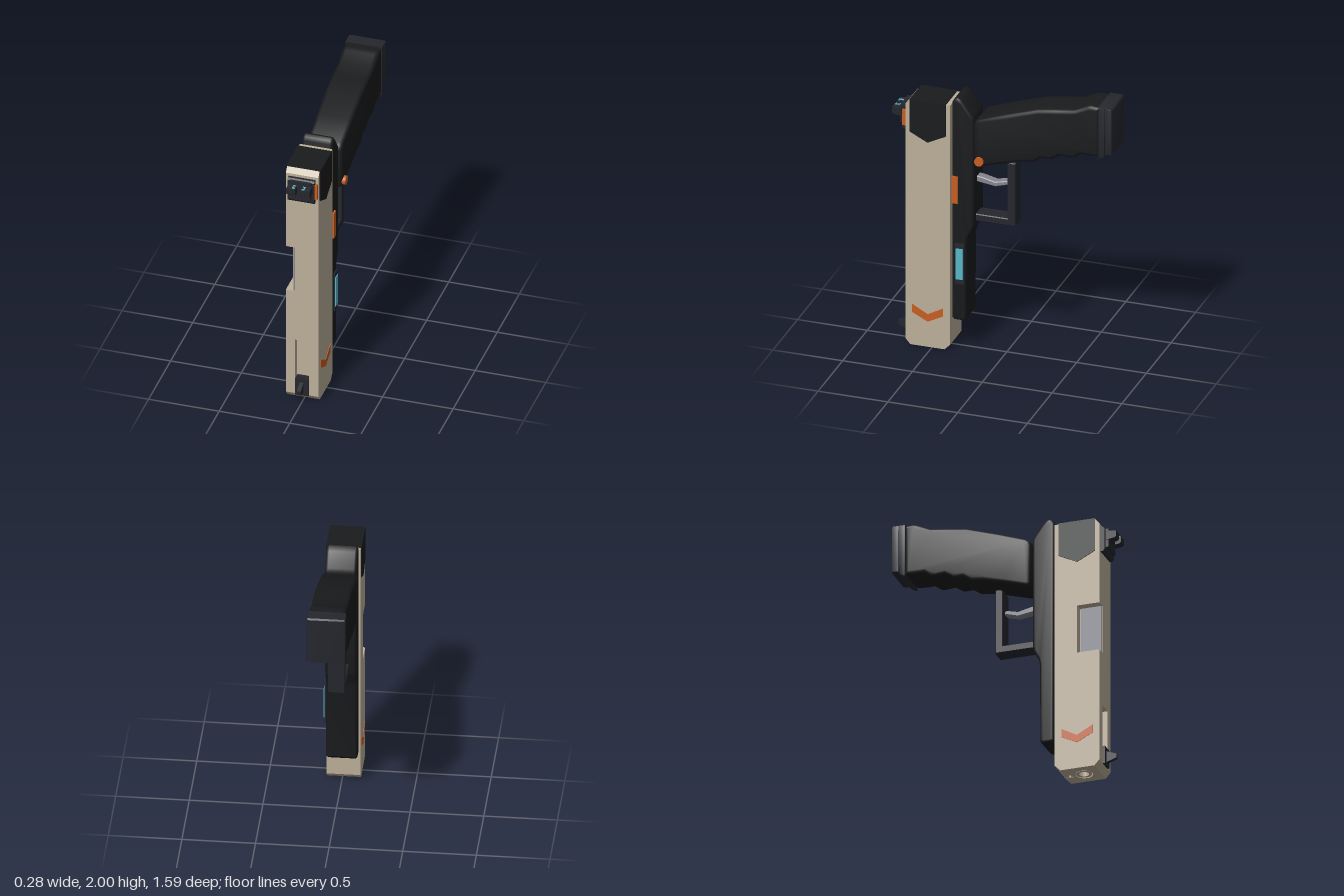
import * as THREE from 'three';
import { toCreasedNormals } from 'three/addons/utils/BufferGeometryUtils.js';

const mat = (color) => new THREE.MeshStandardMaterial({ color });
const tan = mat(0xbdb09a), black = mat(0x1a1b1d), dark = mat(0x25272d);
const orange = mat(0xc85e22), teal = mat(0x58b8c8), steel = mat(0x85868e);

const toShape = (pts) => new THREE.Shape(pts.map(([a, b]) => new THREE.Vector2(a, b)));

// Side profile of [z, y] points, extruded from x0 to x1 with rounded edges
function sideExtrude(pts, x0, x1, bevel = 0, segments = 3) {
  const g = new THREE.ExtrudeGeometry(toShape(pts), {
    depth: x1 - x0 - 2 * bevel, bevelEnabled: bevel > 0, bevelSize: bevel,
    bevelThickness: bevel, bevelOffset: -bevel, bevelSegments: segments,
  });
  g.rotateY(-Math.PI / 2).translate(x1 - bevel, 0, 0);
  return bevel > 0 ? toCreasedNormals(g, 0.6) : g;
}

// Footprint of [x, z] points, extruded from y0 up to y1, with optional round holes [x, z, r]
function upExtrude(pts, y0, y1, holes = []) {
  const shape = toShape(pts);
  for (const [x, z, r] of holes) shape.holes.push(new THREE.Path().absarc(x, z, r, 0, Math.PI * 2, true));
  const g = new THREE.ExtrudeGeometry(shape, { depth: y1 - y0, bevelEnabled: false, curveSegments: 16 });
  return g.rotateX(Math.PI / 2).translate(0, y1, 0);
}

// Pull the front and back edges inward at one height to chamfer a slide section
function chamfer(g, y, front, back) {
  const p = g.attributes.position;
  for (let i = 0; i < p.count; i++) {
    if (Math.abs(p.getY(i) - y) > 1e-4) continue;
    if (p.getZ(i) > 0.689) p.setZ(i, 0.69 - front);
    if (p.getZ(i) < 0.371) p.setZ(i, 0.37 + back);
  }
  g.computeVertexNormals();
  return g;
}

// Box given by its min and max on each axis
function span(x0, x1, y0, y1, z0, z1) {
  return new THREE.BoxGeometry(x1 - x0, y1 - y0, z1 - z0)
    .translate((x0 + x1) / 2, (y0 + y1) / 2, (z0 + z1) / 2);
}

export function createModel() {
  const model = new THREE.Group();
  const add = (name, geometry, material, parent = model) => {
    const m = new THREE.Mesh(geometry, material);
    m.name = name;
    parent.add(m);
    return m;
  };
  const group = (name) => {
    const g = new THREE.Group();
    g.name = name;
    model.add(g);
    return g;
  };

  // Slide: stacked sections, with a front groove and a side port
  const slide = group('slide');
  const L = -0.125, R = 0.105, B = 0.37, F = 0.69;
  const full = [[L, B], [R, B], [R, F], [L, F]];
  const grooved = [[L, B], [R, B], [R, F], [0.04, F], [0.04, 0.65], [-0.06, 0.65], [-0.06, F], [L, F]];
  const ported = [[L, B], [R, B], [R, F], [-0.06, F], [-0.06, 0.53], [L, 0.53]];
  const bores = [[-0.01, 0.54, 0.062], [-0.01, 0.44, 0.022]];
  add('slideEnd', chamfer(upExtrude(full, 0, 0.04, bores), 0, 0.035, 0.04), tan, slide);
  add('slideGroove', upExtrude(grooved, 0.04, 0.47), tan, slide);
  add('slideMiddle', upExtrude(full, 0.47, 0.86), tan, slide);
  add('slidePort', upExtrude(ported, 0.86, 1.21), tan, slide);
  add('slideUpper', upExtrude(full, 1.21, 1.8), tan, slide);
  add('slideTop', chamfer(upExtrude(full, 1.8, 1.835), 1.835, 0.03, 0), tan, slide);
  add('portPlate', span(-0.07, -0.058, 0.862, 1.208, 0.535, 0.687), steel, slide);

  // Barrel and rod ends set in the slide's bores
  const tube = (r, rin) => new THREE.LatheGeometry(
    [[rin, 0.038], [rin, 0.002], [r, 0.002], [r, 0.038]].map(([a, b]) => new THREE.Vector2(a, b)).reverse(), 24);
  const ringMat = mat(0xbdb09a);
  ringMat.side = THREE.DoubleSide;
  ringMat.flatShading = true;
  add('barrelEnd', tube(0.055, 0.036), ringMat).position.set(-0.01, 0, 0.54);
  add('rodEnd', tube(0.02, 0.01), ringMat).position.set(-0.01, 0, 0.44);
  add('boreFloor', span(-0.05, 0.03, 0.034, 0.039, 0.5, 0.58), dark);

  // Dark cover wrapped over the slide's upper end
  add('slideCover', sideExtrude(
    [[0.66, 1.84], [0.4, 1.84], [0.4, 1.6], [0.53, 1.535], [0.66, 1.6]], -0.13, 0.111), black);

  // Chevrons on both sides
  const chevron = [[0.64, 0.305], [0.53, 0.245], [0.42, 0.305], [0.42, 0.245], [0.53, 0.19], [0.64, 0.245]];
  for (const [x0, x1] of [[0.1, 0.108], [-0.128, -0.12]]) add('chevron', sideExtrude(chevron, x0, x1), orange);

  // Front sight
  const frontSight = group('frontSight');
  add('sightBase', span(-0.055, 0.04, 0.04, 0.17, 0.645, 0.705), dark, frontSight);
  add('sightBlade', sideExtrude(
    [[0.7, 0.06], [0.775, 0.085], [0.775, 0.115], [0.7, 0.145]], -0.022, 0.006), dark, frontSight);

  // Rear sight: stepped base, notched head and marks
  const rearSight = group('rearSight');
  add('sightBase', sideExtrude(
    [[0.68, 1.6], [0.71, 1.6], [0.72, 1.615], [0.72, 1.765], [0.71, 1.78], [0.68, 1.78]], -0.105, 0.085), dark, rearSight);
  add('sightStep', span(-0.085, 0.065, 1.635, 1.77, 0.71, 0.74), dark, rearSight);
  add('sightBridge', span(-0.09, 0.075, 1.69, 1.75, 0.73, 0.755), dark, rearSight);
  const post = [[0.75, 1.69], [0.785, 1.695], [0.797, 1.705], [0.797, 1.745], [0.75, 1.75]];
  for (const s of [-1, 1]) {
    const [x0, x1] = s < 0 ? [-0.09, -0.027] : [0.012, 0.075];
    add('sightPost', sideExtrude(post, x0, x1), dark, rearSight);
    const c = -0.0075 + s * 0.04;
    add('sightMark', span(c - 0.004, c + 0.004, 1.74, 1.753, 0.752, 0.788), teal, rearSight);
    for (const z of [0.752, 0.781]) {
      const e = c - s * 0.008;
      add('sightMark', span(e - 0.008, e + 0.008, 1.74, 1.753, z, z + 0.007), teal, rearSight);
    }
  }
  add('sightTab', span(0.07, 0.103, 1.635, 1.75, 0.685, 0.715), orange, rearSight);

  // Frame
  add('frame', sideExtrude([
    [0.36, 0.245], [0.345, 0.23], [0.275, 0.23], [0.258, 0.25], [0.256, 0.82], [0.245, 0.865], [0.215, 0.92],
    [0.205, 0.96], [0.205, 1.75], [0.215, 1.775], [0.285, 1.87], [0.305, 1.89], [0.325, 1.895], [0.345, 1.885], [0.36, 1.86],
  ], -0.115, 0.1, 0.02), black);
  add('frameTab', span(0.09, 0.112, 1.11, 1.31, 0.313, 0.358), orange);
  add('lightHousing', span(0.09, 0.11, 0.51, 0.81, 0.268, 0.333), dark);
  add('lightPanel', span(0.1, 0.115, 0.545, 0.775, 0.277, 0.326), teal);

  // Grip with finger waves along its lower edge
  add('grip', sideExtrude([
    [0.2, 1.715], [0.19, 1.745], [0.165, 1.765], [-0.03, 1.835], [-0.26, 1.91], [-0.39, 1.93], [-0.52, 1.948],
    [-0.61, 1.99], [-0.64, 2], [-0.705, 1.995], [-0.705, 1.63], [-0.62, 1.62], [-0.565, 1.622], [-0.525, 1.59],
    [-0.49, 1.582], [-0.42, 1.588], [-0.355, 1.548], [-0.29, 1.55], [-0.23, 1.51], [-0.15, 1.5],
    [0.0, 1.46], [0.16, 1.412], [0.185, 1.415], [0.195, 1.44],
  ], -0.133, 0.12, 0.028, 4), black);
  add('gripCollar', sideExtrude(
    [[-0.695, 2], [-0.695, 1.62], [-0.71, 1.615], [-0.742, 1.635], [-0.747, 2]], -0.14, 0.125, 0.012, 2), dark);
  add('gripCap', sideExtrude(
    [[-0.742, 2], [-0.742, 1.65], [-0.795, 1.655], [-0.795, 1.99], [-0.785, 2]], -0.14, 0.125, 0.012, 2), dark);

  // Round pin on the model's left
  add('pin', new THREE.CylinderGeometry(0.032, 0.032, 0.05, 24).rotateZ(Math.PI / 2), orange)
    .position.set(0.113, 1.46, 0.155);

  // Trigger guard and trigger
  add('triggerGuard', sideExtrude([
    [0.22, 1.025], [-0.022, 1.025], [-0.022, 1.43], [-0.04, 1.445], [-0.078, 1.445], [-0.078, 0.972], [0.22, 0.972],
  ], -0.065, 0.05, 0.006, 1), dark);
  add('trigger', sideExtrude([
    [0.22, 1.3], [0.17, 1.295], [0.075, 1.273], [-0.005, 1.293], [-0.018, 1.285], [-0.018, 1.265], [0.075, 1.238], [0.22, 1.258],
  ], -0.04, 0.025, 0.006, 1), steel);

  return model;
}
